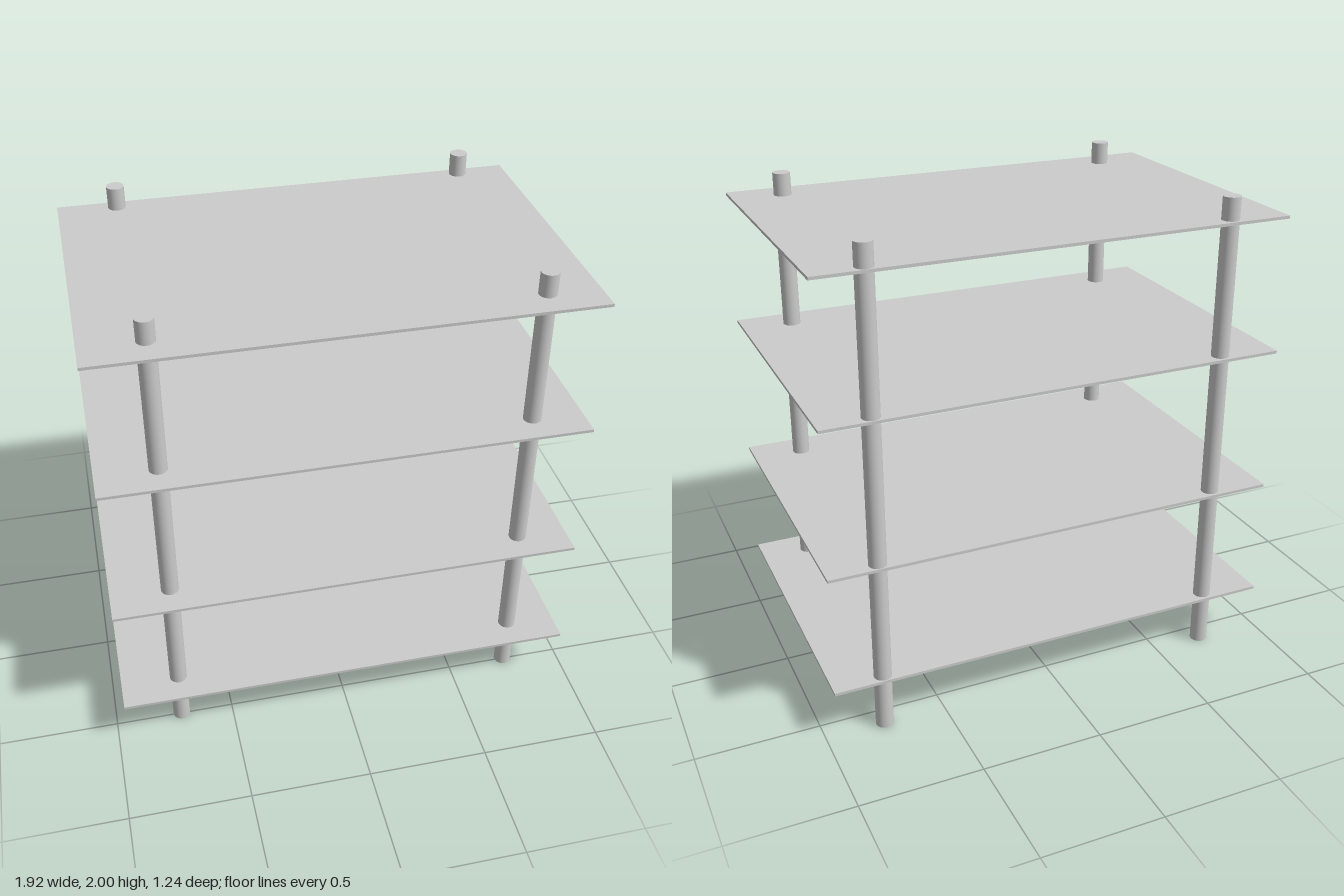
import * as THREE from 'three';

export function createModel() {
  const model = new THREE.Group();
  const material = new THREE.MeshStandardMaterial({ color: 0xcccccc });

  const add = (name, geometry, x, y, z) => {
    const mesh = new THREE.Mesh(geometry, material);
    mesh.name = name;
    mesh.position.set(x, y, z);
    model.add(mesh);
  };

  // Four thin shelves, unevenly spaced
  const shelf = new THREE.BoxGeometry(1.924, 0.012, 1.242);
  [0.222, 0.73, 1.34, 1.901].forEach((y, i) => add(`shelf${i + 1}`, shelf, 0, y, 0));

  // Round posts running through every shelf, set towards the back edge
  const post = new THREE.CylinderGeometry(0.036, 0.036, 2, 48);
  const posts = {
    frontRightPost: [-0.72, 0.496],
    frontLeftPost: [0.754, 0.496],
    backRightPost: [-0.72, -0.574],
    backLeftPost: [0.754, -0.581],
  };
  for (const [name, [x, z]] of Object.entries(posts)) add(name, post, x, 1, z);

  return model;
}
